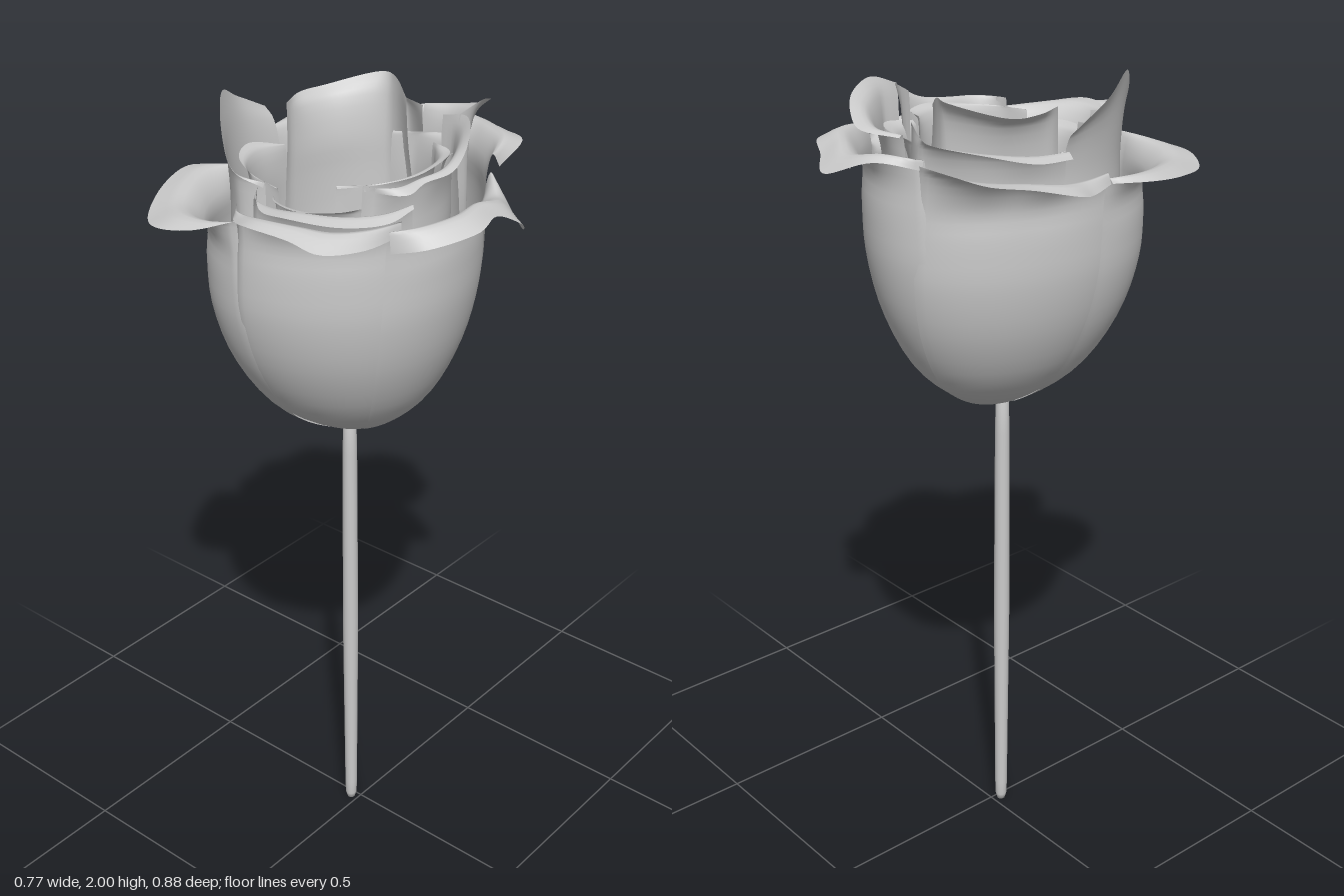
import * as THREE from 'three';

const material = new THREE.MeshStandardMaterial({ color: 0xcccccc, side: THREE.DoubleSide });
const BASE_Y = 1.182;

// Cupped side profile as [radius / body radius, height / body height]
const CUP = [[0.04, 0], [0.31, 0.06], [0.63, 0.19], [0.87, 0.4], [0.985, 0.62], [1, 0.8], [0.995, 0.93]];

// Petal: cupped body of the given radius up to the rim, then a lip curling out
// to an edge curve through [x, y, z] points; start skips the foot of the profile
function makePetal(name, { radius, rim, edge, start = 0 }) {
  const nu = 32, nv = 30;
  const edgeCurve = new THREE.CatmullRomCurve3(edge.map((e) => new THREE.Vector3(...e)));
  const angleOf = ([x, , z]) => Math.atan2(x / 0.92, z / 1.08);
  const first = angleOf(edge[0]);
  const turn = angleOf(edge[edge.length - 1]) - first;
  const sweep = Math.atan2(Math.sin(turn), Math.cos(turn));
  const geometry = new THREE.PlaneGeometry(1, 1, nu, nv);
  for (let i = 0; i <= nu; i++) {
    const u = i / nu;
    const tip = edgeCurve.getPoint(u);
    const tipRadius = Math.hypot(tip.x / 0.92, tip.z / 1.08);
    const side = ([k, h]) => {
      // Wider low down so neighbours overlap, narrowing to the lip's own width
      const a = first + sweep * (0.5 + (u - 0.5) * (1.2 - 0.18 * h));
      // The bloom bulges toward the front left
      const bulge = 1 + 0.11 * Math.pow(Math.cos(a + Math.PI / 4), 3);
      const full = radius * bulge * (0.985 + 0.03 * u);
      const r = k * THREE.MathUtils.lerp(full, Math.min(full, tipRadius * 0.98), h * h);
      return new THREE.Vector3(r * Math.sin(a) * 0.92, BASE_Y + h * (rim - BASE_Y), r * Math.cos(a) * 1.08);
    };
    const bend = side([1, 1]).lerp(tip, 0.4);
    bend.y += 0.012;
    const curve = new THREE.CatmullRomCurve3([...CUP.map(side), bend, tip]);
    for (let j = 0; j <= nv; j++) {
      const p = curve.getPoint(start + (1 - start) * j / nv);
      geometry.attributes.position.setXYZ(j * (nu + 1) + i, p.x, p.y, p.z);
    }
  }
  geometry.computeVertexNormals();
  const mesh = new THREE.Mesh(geometry, material);
  mesh.name = name;
  return mesh;
}

// Outer ring: back, right, front right, front left, left
const outer = [
  { radius: 0.318, rim: 1.86, edge: [[-0.13, 1.84, -0.3], [-0.07, 1.86, -0.385], [0.03, 1.825, -0.44], [0.12, 1.84, -0.385], [0.205, 1.85, -0.33], [0.235, 1.83, -0.2]] },
  { radius: 0.324, rim: 1.82, start: 0.15, edge: [[0.24, 1.79, -0.19], [0.325, 1.72, -0.165], [0.37, 1.76, -0.1], [0.36, 1.8, -0.02], [0.385, 1.8, 0.08], [0.33, 1.78, 0.18], [0.255, 1.76, 0.21]] },
  { radius: 0.318, rim: 1.82, edge: [[0.255, 1.79, 0.175], [0.245, 1.79, 0.29], [0.2, 1.8, 0.38], [0.14, 1.82, 0.4], [0.06, 1.84, 0.435], [-0.02, 1.82, 0.39], [-0.06, 1.82, 0.34]] },
  { radius: 0.314, rim: 1.78, edge: [[-0.31, 1.78, 0.085], [-0.38, 1.79, 0.15], [-0.365, 1.78, 0.25], [-0.28, 1.76, 0.39], [-0.2, 1.77, 0.435], [-0.12, 1.78, 0.415], [-0.05, 1.8, 0.36]] },
  { radius: 0.308, rim: 1.8, edge: [[-0.31, 1.78, 0.08], [-0.345, 1.78, 0], [-0.385, 1.8, -0.08], [-0.34, 1.82, -0.17], [-0.31, 1.84, -0.27], [-0.24, 1.85, -0.3], [-0.12, 1.85, -0.305]] },
];

// Middle ring: back, back left, front left, front, right
const middle = [
  { radius: 0.27, rim: 1.88, edge: [[-0.04, 1.89, -0.29], [0.04, 1.9, -0.335], [0.1, 1.92, -0.315], [0.155, 1.95, -0.27], [0.18, 1.97, -0.2], [0.165, 1.95, -0.14]] },
  { radius: 0.278, rim: 1.85, edge: [[-0.295, 1.85, -0.02], [-0.3, 1.86, -0.13], [-0.24, 1.88, -0.22], [-0.16, 1.9, -0.3], [-0.1, 1.9, -0.28], [-0.01, 1.91, -0.235]] },
  { radius: 0.262, rim: 1.85, edge: [[-0.285, 1.91, 0], [-0.275, 1.96, 0.1], [-0.235, 2, 0.19], [-0.17, 1.93, 0.26], [-0.1, 1.88, 0.3], [-0.045, 1.85, 0.27]] },
  { radius: 0.275, rim: 1.82, edge: [[0.245, 1.83, 0.12], [0.24, 1.82, 0.2], [0.19, 1.83, 0.3], [0.1, 1.85, 0.37], [0.05, 1.85, 0.375], [0, 1.85, 0.34], [-0.07, 1.85, 0.26]] },
  { radius: 0.235, rim: 1.86, edge: [[0.12, 1.94, -0.14], [0.185, 1.95, -0.14], [0.235, 1.92, -0.08], [0.255, 1.88, 0], [0.235, 1.87, 0.07], [0.235, 1.86, 0.13], [0.15, 1.86, 0.17]] },
];

// Inner ring: back left, right, front, front left, back
const inner = [
  { radius: 0.215, rim: 1.88, edge: [[-0.2, 1.94, 0.02], [-0.23, 1.94, -0.06], [-0.22, 1.94, -0.13], [-0.12, 1.97, -0.225], [-0.07, 1.97, -0.21], [-0.01, 1.94, -0.175]] },
  { radius: 0.188, rim: 1.84, edge: [[0.11, 1.88, -0.12], [0.17, 1.88, -0.1], [0.2, 1.88, -0.03], [0.195, 1.87, 0.05], [0.15, 1.86, 0.12], [0.08, 1.85, 0.175]] },
  { radius: 0.205, rim: 1.78, edge: [[0.13, 1.81, 0.15], [0.12, 1.82, 0.22], [0.05, 1.82, 0.27], [-0.03, 1.82, 0.255], [-0.06, 1.82, 0.22]] },
  { radius: 0.22, rim: 1.82, edge: [[-0.215, 1.84, 0.02], [-0.24, 1.86, 0.1], [-0.2, 1.86, 0.18], [-0.13, 1.85, 0.22], [-0.04, 1.84, 0.235]] },
  { radius: 0.2, rim: 1.82, edge: [[-0.06, 1.85, -0.19], [0.03, 1.86, -0.215], [0.1, 1.87, -0.22], [0.155, 1.87, -0.18], [0.16, 1.86, -0.1]] },
];

// Small petals deep inside
const core = [
  { radius: 0.07, rim: 1.42, edge: [[0.08, 1.42, 0.05], [0.03, 1.45, 0.1], [-0.04, 1.42, 0.07]] },
  { radius: 0.09, rim: 1.46, edge: [[0.02, 1.46, -0.1], [0.09, 1.5, -0.07], [0.1, 1.46, 0.03]] },
];

export function createModel() {
  const model = new THREE.Group();
  model.name = 'rose';

  // Bloom: nested rings of petals
  const bloom = new THREE.Group();
  bloom.name = 'bloom';
  const rings = { outerPetal: outer, middlePetal: middle, innerPetal: inner, corePetal: core };
  for (const [name, ring] of Object.entries(rings)) {
    ring.forEach((spec, i) => bloom.add(makePetal(name + (i + 1), spec)));
  }
  model.add(bloom);

  // Stem: slender rod with a rounded foot
  const profile = [[0, 0], [0.01, 0.003], [0.015, 0.02], [0.016, 0.06], [0.02, 0.6], [0.018, 1.1], [0.016, 1.2], [0, 1.21]];
  const stem = new THREE.Mesh(
    new THREE.LatheGeometry(profile.map(([x, y]) => new THREE.Vector2(x, y)), 16), material);
  stem.name = 'stem';
  stem.position.set(-0.018, 0, 0.02);
  model.add(stem);

  return model;
}
